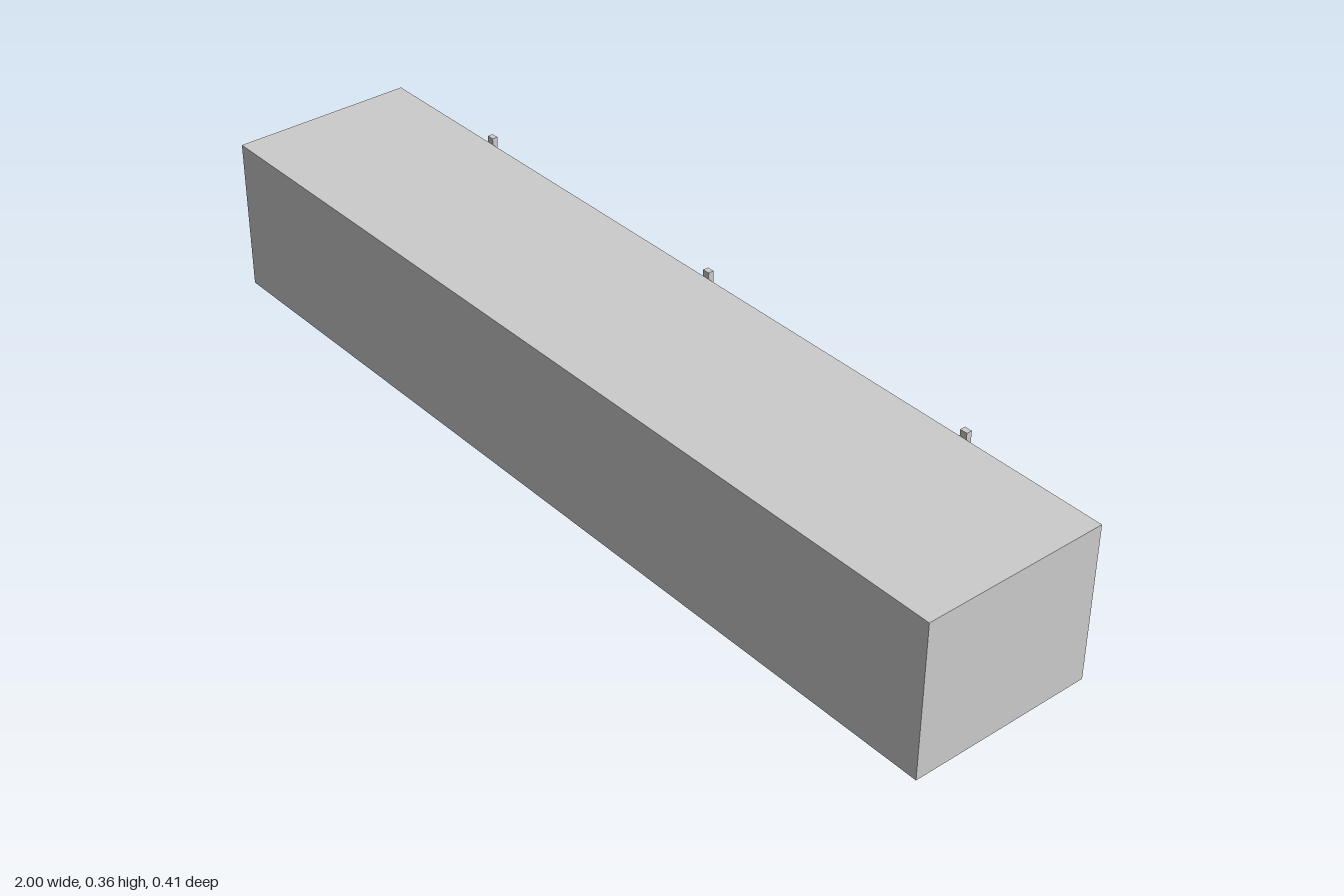
import * as THREE from 'three';

export function createModel() {
  const model = new THREE.Group();
  const material = new THREE.MeshStandardMaterial({ color: 0xcccccc, flatShading: true });

  const addBox = (name, size, position) => {
    const mesh = new THREE.Mesh(new THREE.BoxGeometry(...size), material);
    mesh.name = name;
    mesh.position.set(...position);
    model.add(mesh);
  };

  // Long solid body
  addBox('body', [2, 0.334, 0.401], [0, 0.181, 0.006]);

  // Upright strips across the back, overhanging top and bottom
  const names = ['rightBackStrip', 'middleBackStrip', 'leftBackStrip'];
  names.forEach((name, i) => {
    addBox(name, [0.016, 0.362, 0.012], [(i - 1) * 0.68, 0.181, -0.2005]);
  });

  return model;
}
